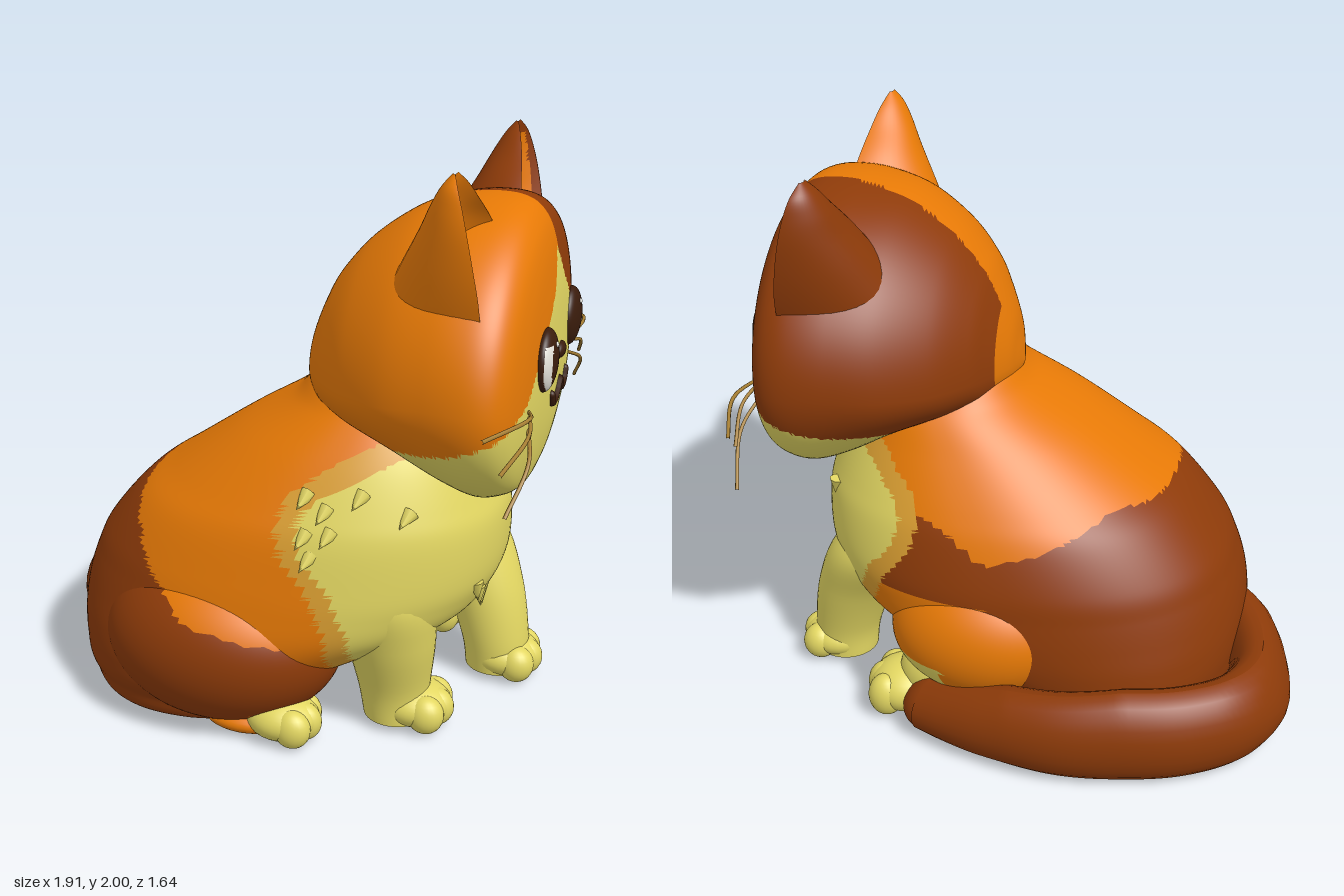
import * as THREE from 'three';

const mat = (name, color) => Object.assign(new THREE.MeshStandardMaterial({ color }), { name });
const orange = mat('orange fur', 0xe87a06), brown = mat('brown fur', 0x8e3b09), cream = mat('cream fur', 0xe3d762);
const tan = mat('light orange fur', 0xdb9f32), dark = mat('dark brown', 0x3a1c0c), white = mat('eye white', 0xf2efe6);
const gold = mat('whisker', 0xa88034);
const PALETTE = [orange, brown, cream, tan, dark, white];
const O = 0, B = 1, C = 2, T = 3, D = 4, W = 5;

// Linear lookup in a table of [x, y] pairs
function lut(t, x) {
  if (x <= t[0][0]) return t[0][1];
  for (let i = 1; i < t.length; i++) {
    if (x <= t[i][0]) return THREE.MathUtils.mapLinear(x, t[i - 1][0], t[i][0], t[i - 1][1], t[i][1]);
  }
  return t[t.length - 1][1];
}

// Catmull-Rom refinement of cross-section rows
function refine(rows, steps) {
  const out = [], at = i => rows[Math.min(Math.max(i, 0), rows.length - 1)];
  for (let i = 0; i < rows.length - 1; i++) {
    for (let s = 0; s < steps; s++) {
      const t = s / steps;
      out.push(rows[i].map((_, k) => {
        const a = at(i - 1)[k], b = at(i)[k], c = at(i + 1)[k], d = at(i + 2)[k];
        return b + 0.5 * t * (c - a + t * (2 * a - 5 * b + 4 * c - d + t * (3 * (b - c) + d - a)));
      }));
    }
  }
  out.push(rows[rows.length - 1]);
  return out;
}

// Smooth skin through closed loops; point(row, angle) gives [x, y, z]
function loft(rows, steps, segs, point) {
  const pos = [], idx = [], fine = refine(rows, steps);
  fine.forEach((row, i) => {
    for (let j = 0; j < segs; j++) {
      pos.push(...point(row, (j / segs) * Math.PI * 2));
      if (i === fine.length - 1) continue;
      const a = i * segs + j, n = i * segs + (j + 1) % segs;
      idx.push(a, a + segs, n, n, a + segs, n + segs);
    }
  });
  const g = new THREE.BufferGeometry();
  g.setAttribute('position', new THREE.Float32BufferAttribute(pos, 3));
  g.setIndex(idx);
  g.computeVertexNormals();
  return g;
}

// Sort triangles into colour groups by a rule on their centres
function paint(g, rule) {
  const p = g.attributes.position, idx = g.index.array, bins = PALETTE.map(() => []);
  for (let i = 0; i < idx.length; i += 3) {
    const t = [idx[i], idx[i + 1], idx[i + 2]];
    const mean = f => (f(t[0]) + f(t[1]) + f(t[2])) / 3;
    bins[rule(mean(k => p.getX(k)), mean(k => p.getY(k)), mean(k => p.getZ(k)))].push(...t);
  }
  g.setIndex(bins.flat());
  let start = 0;
  bins.forEach((b, m) => { if (b.length) g.addGroup(start, b.length, m); start += b.length; });
  return g;
}

function ball(c, r, segs = 28) {
  return new THREE.SphereGeometry(1, segs, Math.ceil(segs * 0.7)).scale(...r).translate(...c);
}
const tube = (pts, r, n = 24, segs = 8) => new THREE.TubeGeometry(
  new THREE.CatmullRomCurve3(pts.map(p => new THREE.Vector3(...p))), n, r, segs);

// Head outline along x: [x, centre y, up, down, half width]
const HEAD_Z = 0.035;
const HEAD = [[.065, 1.2, 0, 0, 0], [.08, 1.22, .07, .06, .08], [.1, 1.23, .15, .1, .15], [.15, 1.24, .26, .14, .26],
  [.2, 1.25, .335, .16, .35], [.3, 1.26, .435, .2, .47], [.45, 1.28, .515, .28, .58], [.6, 1.3, .54, .39, .635],
  [.72, 1.3, .548, .44, .655], [.8, 1.3, .53, .43, .64], [.85, 1.3, .485, .4, .59], [.88, 1.3, .42, .34, .505],
  [.9, 1.3, .33, .265, .395], [.915, 1.3, .21, .165, .25], [.925, 1.3, 0, 0, 0]];
const FACE = [[0, .925], [.38, .915], [.6, .9], [.77, .88], [.9, .85], [.975, .8], [1, .72]];
const faceX = (y, z) => lut(FACE, Math.hypot((z - HEAD_Z) / .655, (y - 1.3) / (y > 1.3 ? .548 : .44)));

function headColour(x, y, z) {
  const muzzle = lut([[0, 1.69], [.1, 1.56], [.2, 1.49], [.33, 1.4], [.45, 1.29], [.62, 1.24]], Math.abs(z - .03));
  if (y < (x < .8 ? Math.min(muzzle, 1.27) : muzzle) - .4 * Math.max(0, .9 - x)) return C;
  return z < .02 - .09 * (.9 - x) && x > .13 && y > 1.08 ? B : O;
}

// Body sections by height: [y, back x, front x, half width, centre z]
const BODY = [[0, -.3, -.3, 0, .02], [0, -.66, .08, .48, .02], [.1, -.75, .2, .57, .02], [.2, -.77, .32, .61, .015], [.3, -.775, .5, .625, .015],
  [.4, -.762, .67, .625, .015], [.5, -.73, .745, .615, .015], [.6, -.68, .775, .6, .015], [.75, -.55, .775, .56, .025], [.85, -.41, .745, .515, .03],
  [1, -.19, .68, .43, .035], [1.13, .02, .6, .34, .03], [1.23, .12, .5, .24, .03], [1.28, .3, .3, 0, .03]];

// Height below which the fur is brown, different on each flank
function brownTop(x, z) {
  const left = lut([[-.5, .78], [-.35, .57], [-.2, .46], [.1, .4], [.22, .36], [.27, .28]], x);
  const right = lut([[-.5, .85], [-.3, .83], [-.1, .75], [.1, .7], [.25, .8], [.4, .85]], x);
  return THREE.MathUtils.lerp(left, right, THREE.MathUtils.clamp(.5 - z / .6, 0, 1));
}
function bodyColour(x, y, z) {
  const edge = lut([[0, .26], [.3, .28], [.45, .28], [.6, .22], [.7, .13], [.8, .1], [.9, .13], [1, .26], [1.1, .46]], y)
    + .24 * THREE.MathUtils.clamp(-z / .4, 0, 1);
  if (y < .02) return O;
  if (y < .17 && x > 0) return x > .1 ? T : O;
  if (x > edge + lut([[.85, .07], [1, .17]], y)) return C;
  if (x > edge) return T;
  if (x > .1 && y < .55) return O;
  return x < -.52 || y < brownTop(x, z) ? B : O;
}

export function createModel() {
  const model = new THREE.Group();
  const add = (name, geo, m = PALETTE, parent = model) => {
    const o = new THREE.Mesh(geo, m);
    o.name = name;
    parent.add(o);
    return o;
  };
  const group = name => { const g = new THREE.Group(); g.name = name; model.add(g); return g; };
  const pw = v => Math.sign(v) * Math.abs(v) ** .88;

  // Body and head
  const body = add('body', paint(loft(BODY, 11, 136, ([y, b, f, w, cz], a) =>
    [(b + f) / 2 + (f - b) / 2 * pw(Math.cos(a)), Math.max(0, y), cz + w * pw(Math.sin(a))]), bodyColour));
  add('head', paint(loft(HEAD, 11, 136, ([x, cy, up, down, w], a) =>
    [x, cy + Math.cos(a) * (Math.cos(a) > 0 ? up : down), HEAD_Z - w * Math.sin(a)]), headColour));

  // Ears: [y, back x, rim x, inner z, outer z, hollow depth]
  const EAR = [[1.5, .36, .76, .06, .575, 0], [1.62, .43, .755, .13, .61, .06], [1.72, .485, .74, .2, .628, .12],
    [1.82, .54, .72, .29, .634, .1], [1.9, .58, .7, .39, .625, .07], [1.96, .615, .68, .46, .605, .03], [2, .65, .66, .52, .56, 0]];
  const earAt = (k, y) => lut(EAR.map(r => [r[0], r[k]]), y);
  for (const side of [1, -1]) {
    const zOf = z => side > 0 ? z : .06 - z;
    const ear = loft(EAR, 6, 48, ([y, back, rim, zi, zo, dent], a) => {
      const c = Math.cos(a);
      return [c > 0 ? rim - dent * c * c : rim + (rim - back) * c, y, zOf((zi + zo) / 2) + (zo - zi) / 2 * Math.sin(a)];
    });
    // The right ear is brown with an orange hollow
    const rightEar = (x, y, z) => {
      const [back, rim, zi, zo, dent] = [1, 2, 3, 4, 5].map(k => earAt(k, y));
      const u = (zOf((zi + zo) / 2) - z) / ((zo - zi) / 2), c = Math.sqrt(Math.max(0, 1 - u * u));
      return u > -.6 && u < .85 && y < 1.95 && x > rim - c * (dent * c + rim - back) / 2 ? O : B;
    };
    if (side > 0) add('leftEar', ear, orange);
    else add('rightEar', paint(ear, rightEar));
  }

  // Eyes, the left one showing some white at its outer edge
  for (const z0 of [.29, -.235]) {
    const y0 = 1.38, x0 = faceX(y0, z0);
    add('eye', paint(ball([x0, y0, z0], [.04, .103, .1], 48), (x, y, z) =>
      z0 > 0 && z > z0 && Math.hypot(z - z0 + .03, y - y0) > .091 && Math.hypot(z - z0, y - y0) < .097 && y < y0 + .06 ? W : D));
    add('eyeGlint', ball([x0 + .034, y0 + .055, z0 + .005], [.006, .009, .009], 12), white);
  }

  // Nose and mouth
  add('nose', ball([.922, 1.343, .045], [.02, .028, .047], 24), dark);
  const mouth = [[.17, 1.225], [.15, 1.193], [.1, 1.183], [.06, 1.205], [.027, 1.235], [-.01, 1.205], [-.05, 1.183], [-.1, 1.193], [-.12, 1.225]]
    .map(([z, y]) => [faceX(y, z) + .002, y, z]);
  add('mouth', tube(mouth, .014, 64), dark);
  for (const p of [mouth[0], mouth[8]]) add('mouthCorner', ball(p, [.014, .014, .014], 12), dark);

  // Whiskers: start z, y, end z, y, end x
  const whiskers = group('whiskers');
  for (const [z, y, ze, ye, xe] of [[.43, 1.255, .82, 1.285, .82], [.42, 1.245, .78, 1.17, .87], [.42, 1.21, .72, 1.01, .88],
    [-.35, 1.255, -.78, 1.24, .86], [-.36, 1.25, -.64, 1.13, .9], [-.36, 1.21, -.71, 1.01, .88]]) {
    add('whisker', tube([[faceX(y, z) - .01, y, z], [.92, (y + ye) / 2 + .025, (z + ze) / 2], [xe, ye, ze]], .0065, 16, 6), gold, whiskers);
  }

  // Front legs: [y, x, z, radius]
  const LEGS = {
    leftFrontLeg: [[.03, .46, .29, .115], [.15, .45, .29, .128], [.35, .44, .325, .16], [.55, .41, .345, .185], [.72, .34, .3, .15], [.85, .28, .26, 0]],
    rightFrontLeg: [[.03, .73, -.165, .115], [.15, .72, -.165, .125], [.35, .66, -.19, .15], [.55, .55, -.225, .178], [.7, .44, -.2, .14], [.8, .38, -.18, 0]],
  };
  for (const [name, rows] of Object.entries(LEGS)) {
    add(name, loft(rows, 6, 40, ([y, x, z, r], a) => [x + r * Math.cos(a), y, z + r * Math.sin(a)]), cream);
  }

  // Haunches
  add('leftHaunch', paint(ball([-.14, .305, .405], [.43, .305, .315], 72), (x, y) =>
    y > brownTop(x, 1) ? O : y < .1 && x > .02 ? O : B));
  add('rightHaunch', paint(ball([.13, .37, -.425], [.33, .25, .24], 64), (x, y) => x > .24 && y < .31 ? C : O));
  add('rightShin', ball([.28, .16, -.44], [.16, .14, .12]), cream);
  add('leftFoot', ball([-.02, .05, .5], [.16, .05, .11]), orange);

  // Paws with three toes and orange soles
  const sole = (x, y) => y < .01 ? O : C;
  for (const [name, x, z, w, h] of [['leftFrontPaw', .525, .287, .125, .08], ['rightFrontPaw', .76, -.165, .132, .08],
    ['leftHindPaw', .115, .525, .115, .08], ['rightHindPaw', .42, -.45, .13, .095]]) {
    const paw = group(name);
    add('pad', paint(ball([x, h, z], [.13, h, w]), sole), PALETTE, paw);
    for (const k of [-1, 0, 1]) {
      add('toe', paint(ball([x + .075 - .02 * Math.abs(k), h * .9, z + k * w * .56], [.066, h * .87, w * .46], 22), sole), PALETTE, paw);
    }
  }

  // Tail curling round the right side, lower towards its bend and tip
  const TAIL = [[-.62, 0, .1], [-.77, 0, -.03], [-.84, 0, -.2], [-.845, 0, -.37], [-.765, 0, -.53], [-.6, 0, -.64],
    [-.4, 0, -.695], [-.18, 0, -.71], [.06, 0, -.66], [.2, 0, -.605], [.3, 0, -.555]];
  const tail = group('tail');
  const lower = g => {
    const p = g.attributes.position;
    for (let i = 0; i < p.count; i++) {
      const h = lut([[-.96, .115], [-.92, .14], [-.86, .16], [-.76, .17], [-.4, .175], [0, .145], [.38, .09]], p.getX(i));
      p.setY(i, h * (1 + p.getY(i) / .11));
    }
    g.computeVertexNormals();
    return g;
  };
  add('tailCurve', lower(tube(TAIL, .11, 80, 24)), brown, tail);
  add('tailTip', lower(ball([.3, 0, -.555], [.1, .11, .105])), brown, tail);

  // Fur tufts set on the chest and left shoulder
  const tufts = group('furTufts');
  const ray = new THREE.Raycaster();
  body.updateMatrixWorld();
  const tuft = (origin, dir, lean, size) => {
    ray.set(new THREE.Vector3(...origin), new THREE.Vector3(...dir));
    const hit = ray.intersectObject(body)[0];
    if (!hit) return;
    const cone = add('tuft', new THREE.ConeGeometry(size * .4, size, 8), cream, tufts);
    const d = new THREE.Vector3(...lean).normalize();
    cone.quaternion.setFromUnitVectors(new THREE.Vector3(0, 1, 0), d);
    cone.position.copy(hit.point).addScaledVector(d, size * .15);
  };
  for (const [x, y] of [[.19, .9], [.26, .86], [.37, .91], [.2, .78], [.28, .79], [.22, .71], [.52, .85]]) {
    tuft([x, y, 2], [0, 0, -1], [-.3, -.5, .8], .075);
  }
  for (const [z, y] of [[.25, .53], [.2, .49], [.15, .46], [.09, .44], [.03, .425], [-.03, .425], [-.09, .44], [-.15, .48], [-.26, .79]]) {
    tuft([2, y, z], [-1, 0, 0], [.15, -1, 0], .07);
  }
  return model;
}
